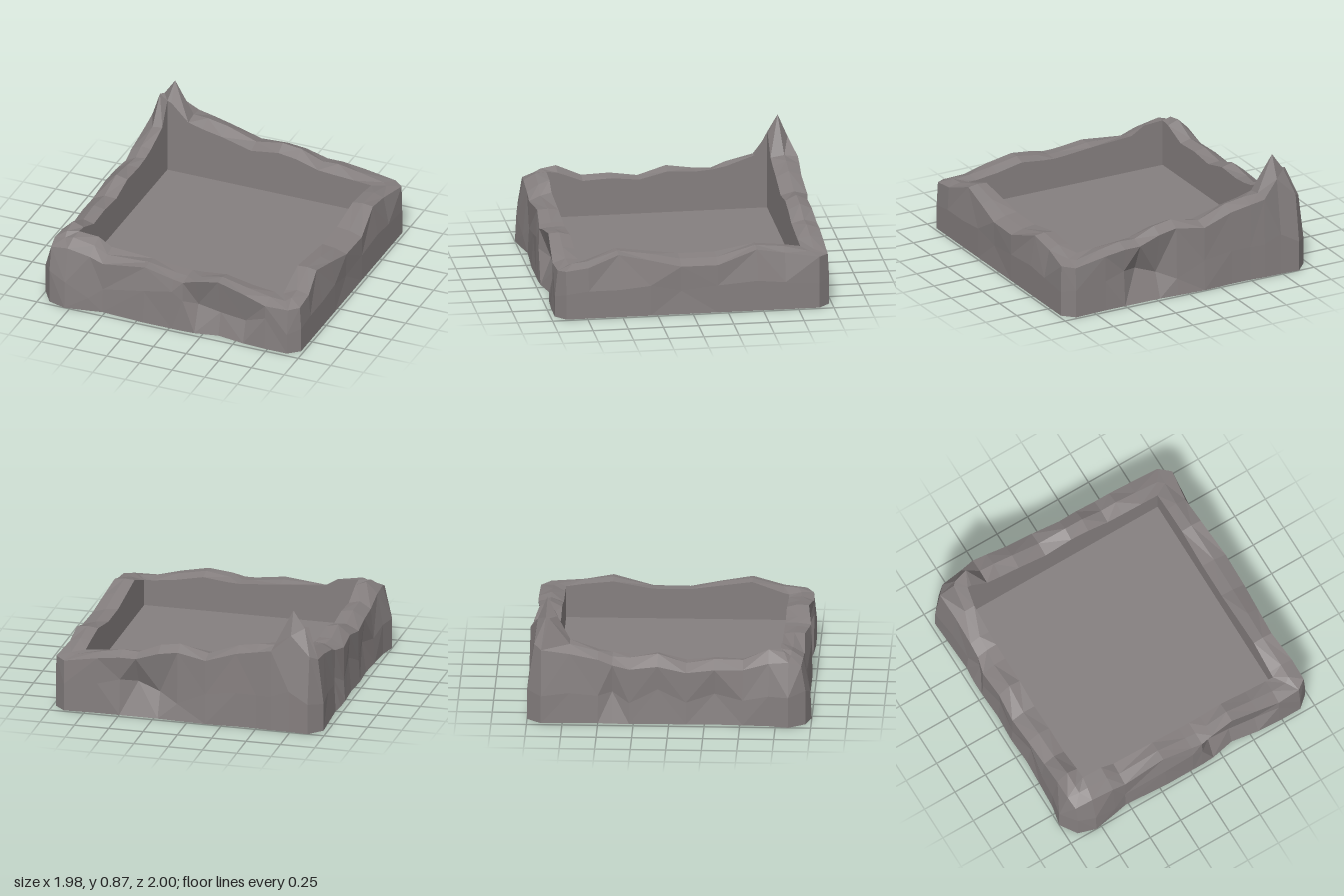
import * as THREE from 'three';

const stone = new THREE.MeshStandardMaterial({ color: 0x857f7f, flatShading: true });
stone.name = 'stone grey';

// Inner basin limits
const X0 = -0.77, X1 = 0.79, Z0 = -0.79, Z1 = 0.78, FLOOR = 0.17;

// Each station: [position along side, foot distance, middle distance, middle height,
//                brow distance, brow height, ridge height, inner edge height]
const front = [
  [-0.92, 0.96, 0.96, 0.25, 0.93, 0.43, 0.48, 0.51],
  [-0.79, 1.00, 0.99, 0.20, 0.94, 0.45, 0.50, 0.51],
  [-0.62, 0.97, 0.97, 0.10, 0.94, 0.42, 0.47, 0.50],
  [-0.52, 0.95, 0.94, 0.18, 0.94, 0.385, 0.42, 0.44],
  [-0.20, 0.97, 0.96, 0.25, 0.93, 0.425, 0.43, 0.42],
  [0.02, 0.97, 0.97, 0.30, 0.95, 0.39, 0.40, 0.40],
  [0.10, 0.97, 0.965, 0.24, 0.96, 0.385, 0.395, 0.395],
  [0.19, 0.965, 0.89, 0.20, 0.95, 0.41, 0.41, 0.40],
  [0.36, 0.93, 0.89, 0.17, 0.935, 0.435, 0.44, 0.42],
  [0.56, 0.96, 0.91, 0.16, 0.95, 0.39, 0.40, 0.38],
  [0.73, 0.97, 0.96, 0.24, 0.96, 0.34, 0.37, 0.36],
  [0.90, 0.97, 0.97, 0.15, 0.95, 0.34, 0.36, 0.36],
];
const right = [
  [0.90, 0.98, 0.98, 0.18, 0.97, 0.35, 0.38, 0.36],
  [0.74, 0.98, 0.98, 0.20, 0.97, 0.37, 0.39, 0.37],
  [0.52, 0.98, 0.98, 0.20, 0.935, 0.445, 0.455, 0.45],
  [0.30, 0.98, 0.98, 0.22, 0.955, 0.40, 0.425, 0.42],
  [0.08, 0.98, 0.97, 0.17, 0.975, 0.35, 0.38, 0.39],
  [-0.18, 0.98, 0.98, 0.20, 0.98, 0.35, 0.38, 0.39],
  [-0.46, 0.98, 0.98, 0.22, 0.945, 0.44, 0.45, 0.44],
  [-0.66, 0.98, 0.98, 0.20, 0.94, 0.405, 0.43, 0.42],
  [-0.90, 0.98, 0.98, 0.18, 0.975, 0.375, 0.39, 0.40],
];
const back = [
  [0.90, 0.98, 0.98, 0.20, 0.97, 0.37, 0.39, 0.40],
  [0.66, 0.97, 0.97, 0.22, 0.97, 0.41, 0.43, 0.41],
  [0.50, 0.97, 0.95, 0.26, 0.97, 0.43, 0.46, 0.42],
  [0.38, 0.97, 0.89, 0.24, 0.97, 0.43, 0.455, 0.43],
  [0.22, 0.97, 0.90, 0.18, 0.96, 0.48, 0.52, 0.48],
  [0.08, 0.98, 0.96, 0.12, 0.95, 0.50, 0.54, 0.50],
  [-0.13, 0.99, 0.98, 0.22, 0.98, 0.47, 0.495, 0.47],
  [-0.35, 0.98, 0.98, 0.25, 0.97, 0.54, 0.575, 0.53],
  [-0.50, 0.98, 0.98, 0.25, 0.98, 0.57, 0.60, 0.56],
  [-0.61, 0.99, 0.99, 0.25, 0.985, 0.59, 0.605, 0.59],
  [-0.74, 0.99, 0.99, 0.30, 0.93, 0.70, 0.865, 0.72],
  [-0.88, 1.00, 1.00, 0.22, 0.95, 0.56, 0.74, 0.73],
];
const left = [
  [-0.90, 0.97, 0.97, 0.20, 0.93, 0.53, 0.74, 0.73],
  [-0.70, 0.96, 0.95, 0.22, 0.92, 0.50, 0.55, 0.56],
  [-0.50, 0.95, 0.94, 0.20, 0.92, 0.46, 0.50, 0.49],
  [-0.40, 0.96, 0.90, 0.22, 0.92, 0.42, 0.46, 0.47],
  [-0.28, 0.96, 0.95, 0.15, 0.95, 0.40, 0.46, 0.46],
  [-0.08, 0.95, 0.93, 0.25, 0.94, 0.42, 0.49, 0.47],
  [0.12, 0.96, 0.95, 0.16, 0.95, 0.38, 0.425, 0.42],
  [0.32, 0.95, 0.92, 0.22, 0.94, 0.40, 0.455, 0.44],
  [0.52, 0.96, 0.95, 0.18, 0.93, 0.40, 0.45, 0.43],
  [0.70, 0.97, 0.97, 0.22, 0.93, 0.45, 0.53, 0.50],
  [0.84, 1.00, 1.00, 0.22, 0.93, 0.46, 0.51, 0.51],
];

const clamp = THREE.MathUtils.clamp;

// Cross-section of the rock from the underside centre over the rim to the floor centre
function section(place, [t, d0, d1, y1, d2, yBrow, yRidge, yInner]) {
  const at = (d, y) => { const [x, z] = place(t, d); return new THREE.Vector3(x, y, z); };
  const brow = at(d2, yBrow);
  const inner = new THREE.Vector3(clamp(brow.x, X0, X1), yInner, clamp(brow.z, Z0, Z1));
  const ridge = brow.clone().lerp(inner, 0.5).setY(yRidge);
  return [
    new THREE.Vector3(0, 0, 0), at(d0, 0), at(d1, y1), brow, ridge, inner,
    inner.clone().setY(FLOOR), new THREE.Vector3(0, FLOOR, 0),
  ];
}

const ring = [
  ...front.map(r => section((t, d) => [t, d], r)),
  ...right.map(r => section((t, d) => [d, t], r)),
  ...back.map(r => section((t, d) => [t, -d], r)),
  ...left.map(r => section((t, d) => [-d, t], r)),
];

// Skin one band of the ring between two section levels, skipping empty triangles
function band(name, from, to) {
  const pos = [];
  const tri = (a, b, c) => {
    if (new THREE.Triangle(a, b, c).getArea() > 1e-7)
      for (const p of [a, b, c]) pos.push(p.x, p.y, p.z);
  };
  ring.forEach((cur, i) => {
    const next = ring[(i + 1) % ring.length];
    for (let k = from; k < to; k++) {
      if (i % 2) {
        tri(cur[k], next[k], next[k + 1]);
        tri(cur[k], next[k + 1], cur[k + 1]);
      } else {
        tri(cur[k], next[k], cur[k + 1]);
        tri(next[k], next[k + 1], cur[k + 1]);
      }
    }
  });
  const geo = new THREE.BufferGeometry();
  geo.setAttribute('position', new THREE.Float32BufferAttribute(pos, 3));
  geo.computeVertexNormals();
  const mesh = new THREE.Mesh(geo, stone);
  mesh.name = name;
  return mesh;
}

export function createModel() {
  const group = new THREE.Group();
  group.name = 'rockBasin';
  group.add(
    band('underside', 0, 1),
    band('craggyOuterWall', 1, 3),
    band('rockRim', 3, 5),
    band('innerWalls', 5, 6),
    band('basinFloor', 6, 7),
  );
  return group;
}
